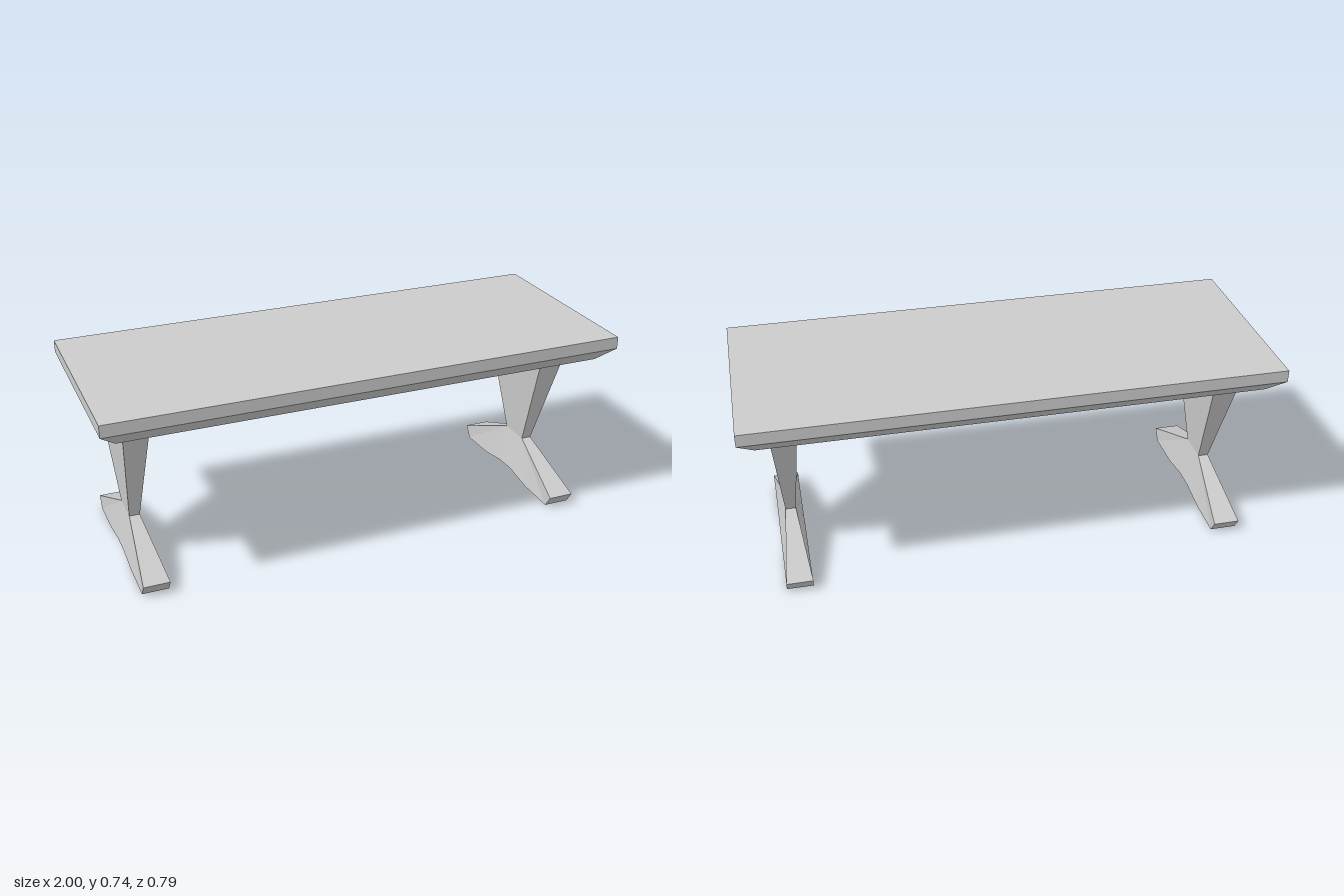
import * as THREE from 'three';

const material = new THREE.MeshStandardMaterial({ color: 0xcccccc, flatShading: true });

// Mesh from convex polygon faces, each split as a fan from its first corner
function facesMesh(name, faces) {
  const pos = [];
  for (const f of faces)
    for (let i = 1; i < f.length - 1; i++) pos.push(...f[0], ...f[i], ...f[i + 1]);
  const geo = new THREE.BufferGeometry();
  geo.setAttribute('position', new THREE.Float32BufferAttribute(pos, 3));
  geo.computeVertexNormals();
  const mesh = new THREE.Mesh(geo, material);
  mesh.name = name;
  return mesh;
}

// Horizontal rectangle, counter-clockwise from above
const ring = (y, x0, x1, z0, z1) => [[x0, y, z0], [x0, y, z1], [x1, y, z1], [x1, y, z0]];

// Side walls between a lower and an upper ring
const walls = (a, b) => a.map((p, i) => {
  const j = (i + 1) % a.length;
  return [p, a[j], b[j], b[i]];
});

const mirrorX = (faces) => faces.map((f) => f.map(([x, y, z]) => [-x, y, z]).reverse());

// Where a leg meets the underside
const IN = 0.79, OUT = 0.89, MID = 0.84, BACK = -0.23, FRONT = 0.205, LEG_TOP = 0.602;

function tabletop() {
  const rim = [0.94, 0.34, 0.633];
  const top = ring(0.735, -1, 1, -0.393, 0.393);
  const edge = ring(0.688, -1, 1, -0.393, 0.393);
  const bevel = ring(rim[2], -rim[0], rim[0], -rim[1], rim[1]);

  // Underside of one half, sinking from the rim and the centre line to the leg
  const [x, z, y] = rim;
  const aF = [x, y, z], aB = [x, y, -z], cF = [0, y, z], cB = [0, y, -z];
  const [iB, iF, oF, oB] = ring(LEG_TOP, IN, OUT, BACK, FRONT);
  const half = [[aB, aF, oF, oB], [aF, cF, iF, oF], [cF, cB, iB, iF], [cB, aB, oB, iB]];

  return facesMesh('tabletop', [
    top, ...walls(edge, top), ...walls(bevel, edge), ...half, ...mirrorX(half),
  ]);
}

// Tapered post, widest at the tabletop
function post() {
  return facesMesh('post', walls(
    ring(0.175, -0.02, 0.02, -0.075, 0.053),
    ring(LEG_TOP, IN - MID, OUT - MID, BACK, FRONT),
  ));
}

// Arched foot from a side outline: z, y, half width
function foot() {
  const outline = [
    [0.053, 0.175, 0.02], [0.348, 0.047, 0.05], [0.316, 0, 0.05], [0.155, 0.003, 0.05],
    [0.03, 0.024, 0.05], [-0.055, 0.024, 0.05], [-0.185, 0.003, 0.05], [-0.34, 0, 0.05],
    [-0.37, 0.047, 0.05], [-0.075, 0.175, 0.02],
  ];
  const R = outline.map(([z, y, w]) => [w, y, z]);
  const L = outline.map(([z, y, w]) => [-w, y, z]);
  const faces = R.map((p, i) => {
    const j = (i + 1) % R.length;
    return [p, L[i], L[j], R[j]];
  });
  // Two wings and the middle panel on each side
  for (const [first, ...rest] of [[0, 1, 2, 3, 4], [0, 4, 5, 9], [9, 5, 6, 7, 8]]) {
    faces.push([first, ...rest].map((k) => R[k]));
    faces.push([first, ...rest.reverse()].map((k) => L[k]));
  }
  return facesMesh('foot', faces);
}

export function createModel() {
  const table = new THREE.Group();
  table.name = 'table';
  table.add(tabletop());
  for (const [name, x] of [['leftLeg', MID], ['rightLeg', -MID]]) {
    const leg = new THREE.Group();
    leg.name = name;
    leg.position.x = x;
    leg.add(post(), foot());
    table.add(leg);
  }
  return table;
}
